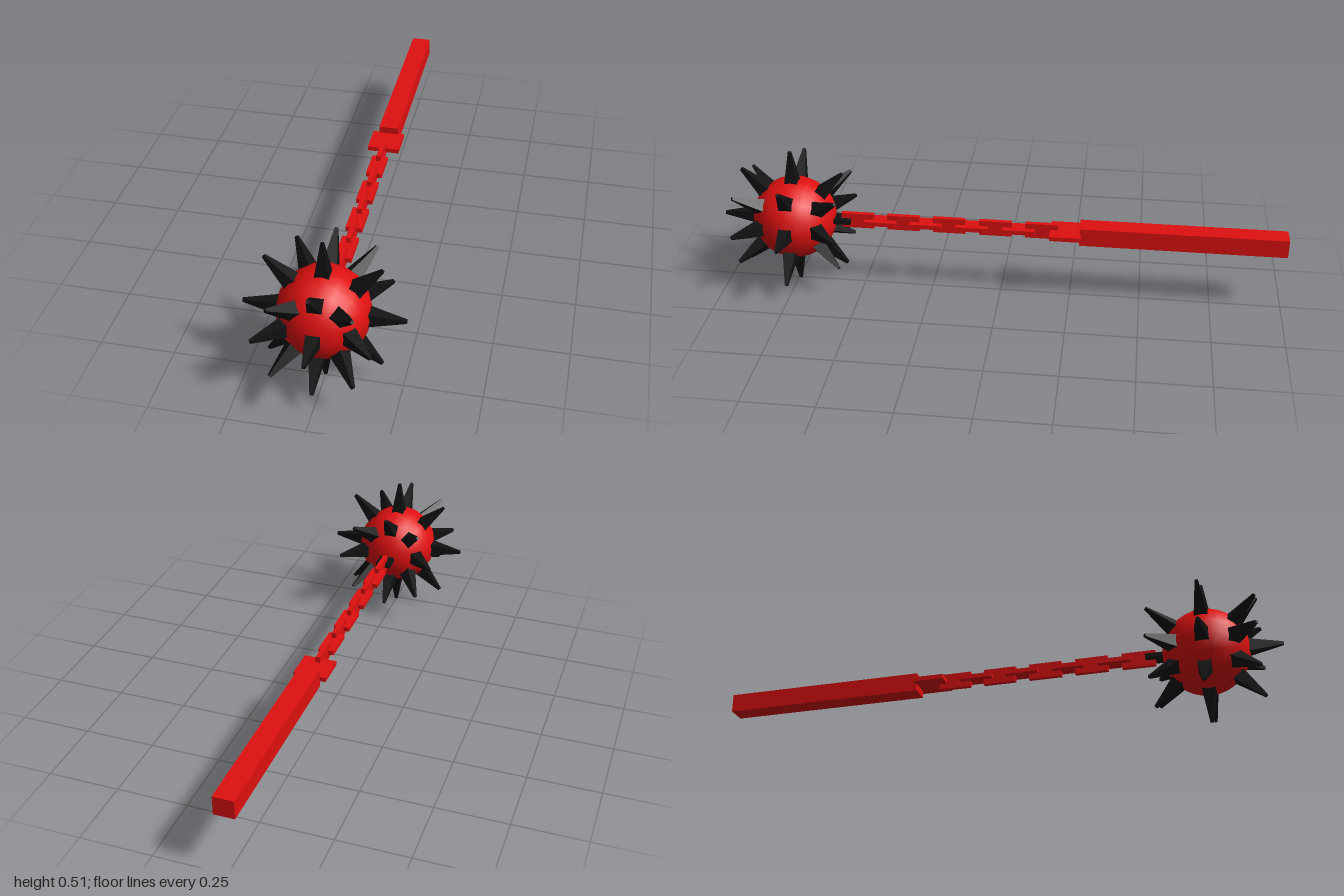
import * as THREE from 'three';

const Y = 0.257;        // height of the weapon's axis
const BALL_Z = 0.743;   // centre of the spiked head

export function createModel() {
  const model = new THREE.Group();
  const red = new THREE.MeshStandardMaterial({ color: 0xe01010 });
  const black = new THREE.MeshStandardMaterial({ color: 0x111111 });
  const spikeBlack = new THREE.MeshStandardMaterial({ color: 0x111111, flatShading: true });

  function box(name, w, h, z0, z1, material) {
    const mesh = new THREE.Mesh(new THREE.BoxGeometry(w, h, Math.abs(z1 - z0)), material);
    mesh.position.set(0, Y, (z0 + z1) / 2);
    mesh.name = name;
    model.add(mesh);
  }

  // Handle and the flat plate joining it to the chain
  box('handle', 0.07, 0.066, -1, -0.28, red);
  box('handlePlate', 0.114, 0.016, -0.286, -0.176, red);

  // Chain of flat links, alternately upright and lying; the last one is the ball's mount
  for (let i = 0; i < 10; i++) {
    const z = -0.146 + i * 0.0824;
    const upright = i % 2 === 0;
    const last = i === 9;
    box(last ? 'ballMount' : 'chainLink', upright ? 0.016 : 0.056, upright ? 0.056 : 0.016,
      z - 0.058, z + 0.058, last ? black : red);
  }

  // Spiked head
  const head = new THREE.Group();
  head.name = 'spikedHead';
  head.position.set(0, Y, BALL_Z);
  model.add(head);

  const ball = new THREE.Mesh(new THREE.SphereGeometry(0.148, 16, 16), red);
  ball.name = 'ball';
  ball.rotation.x = Math.PI / 2;
  head.add(ball);

  // Square tapering spike pointing along +z, from inside the ball to its blunt tip
  const inner = 0.12, tip = 0.257;
  const spikeGeometry = new THREE.CylinderGeometry(0.005 * Math.SQRT2, 0.0264 * Math.SQRT2, tip - inner, 4)
    .rotateY(Math.PI / 4)
    .rotateX(Math.PI / 2)
    .translate(0, 0, (inner + tip) / 2);

  function spike(tilt, turn) {
    const mesh = new THREE.Mesh(spikeGeometry, spikeBlack);
    mesh.name = 'spike';
    mesh.rotation.set(0, tilt, turn, 'ZYX');
    head.add(mesh);
  }

  // One front spike, then three rings of eight
  spike(0, 0);
  for (let ring = 1; ring <= 3; ring++) {
    for (let i = 0; i < 8; i++) spike(ring * Math.PI / 4, i * Math.PI / 4);
  }

  return model;
}
